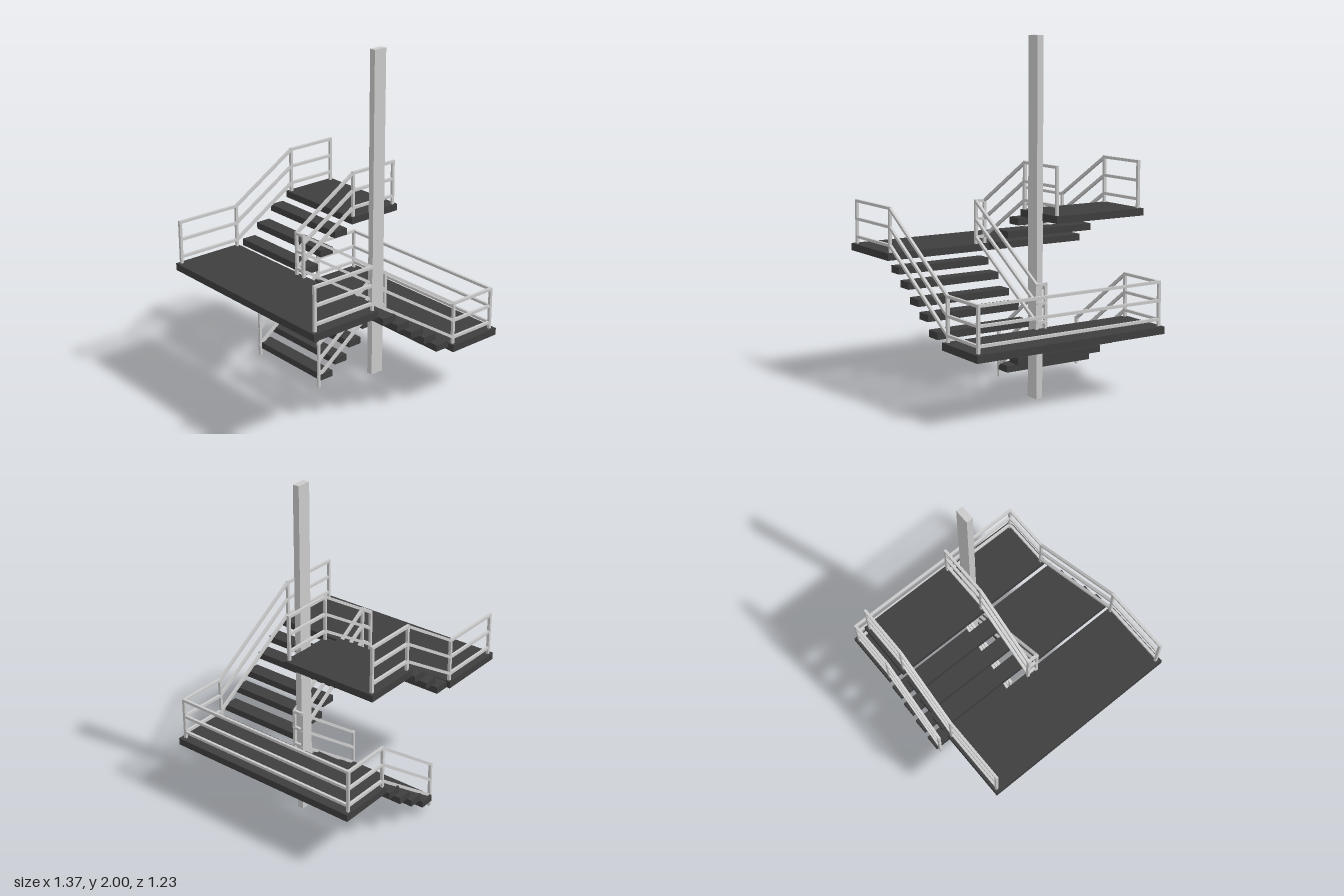
import * as THREE from 'three';

const steel = new THREE.MeshStandardMaterial({ color: 0xcacaca });
steel.name = 'light steel';
const tread = new THREE.MeshStandardMaterial({ color: 0x3e3e3e });
tread.name = 'dark tread';

const T = 0.016; // rail thickness
const DROPS = [0, 0.105, 0.21]; // top, middle and lower rail

// Box given by its limits on each axis
function block(name, mat, [x0, x1], [y0, y1], [z0, z1]) {
  const m = new THREE.Mesh(new THREE.BoxGeometry(x1 - x0, y1 - y0, z1 - z0), mat);
  m.position.set((x0 + x1) / 2, (y0 + y1) / 2, (z0 + z1) / 2);
  m.name = name;
  return m;
}

// Square bar between two points, slightly extended to fill the corners
function bar(a, b) {
  const m = new THREE.Mesh(new THREE.BoxGeometry(T, T, a.distanceTo(b) + T * 0.9), steel);
  m.position.copy(a).add(b).multiplyScalar(0.5);
  m.lookAt(b);
  m.name = 'railBar';
  return m;
}

// Three parallel rails following a path of [x, y, z] points
function railing(name, path) {
  const g = new THREE.Group();
  g.name = name;
  const pts = path.map((p) => new THREE.Vector3(...p));
  for (let i = 0; i < pts.length - 1; i++) {
    for (const d of DROPS) {
      const drop = new THREE.Vector3(0, -d, 0);
      g.add(bar(pts[i].clone().add(drop), pts[i + 1].clone().add(drop)));
    }
  }
  return g;
}

export function createModel() {
  const model = new THREE.Group();
  model.name = 'staircase';

  // Tall central column
  model.add(block('column', steel, [0.26, 0.345], [0, 2], [-0.025, 0.014]));

  // Landings
  const full = [-0.614, 0.614];
  const back = [-0.616, -0.03];
  const front = [0.028, 0.614];
  model.add(block('lowerLanding', tread, [0.335, 0.683], [0.355, 0.397], full));
  model.add(block('middleLanding', tread, [-0.686, -0.247], [0.748, 0.79], full));
  model.add(block('upperLanding', tread, [0.13, 0.48], [0.994, 1.035], [-0.617, -0.022]));

  // Flights: [left edge, centre height] of each tread
  const flights = [
    ['lowerFlight', back, [[-0.103, 0.087], [0.008, 0.155], [0.118, 0.231], [0.222, 0.32]]],
    ['middleFlight', front, [[0.2, 0.422], [0.1, 0.5], [0, 0.565], [-0.106, 0.642], [-0.208, 0.71]]],
    ['upperFlight', back, [[-0.207, 0.793], [-0.098, 0.87], [0.008, 0.958]]],
  ];
  for (const [name, z, steps] of flights) {
    const g = new THREE.Group();
    g.name = name;
    for (const [x, y] of steps) {
      g.add(block('step', tread, [x, x + 0.09], [y - 0.02, y + 0.02], z));
    }
    model.add(g);
  }

  // Railings
  const zB = -0.595, zF = 0.588, zIB = -0.038, zIF = 0.021;
  const low = 0.645, mid = 1.04, high = 1.297, foot = 0.305;
  const xFoot = -0.11, xL = -0.265, xR = 0.353, xEndL = -0.66, xEndR = 0.652;
  model.add(railing('outerLowerRailing', [
    [xFoot, foot, zB], [xR, low, zB], [xEndR, low, zB], [xEndR, low, zF],
    [xR, low, zF], [xL, mid, zF], [xEndL, mid, zF],
  ]));
  model.add(railing('outerUpperRailing', [
    [xEndL, mid, zB], [xL, mid, zB], [0.15, high, zB], [0.457, high, zB],
  ]));
  model.add(railing('innerRailing', [
    [xFoot, foot, zIB], [xR, low, zIB], [xR, low, zIF], [xL, mid, zIF],
    [xL, mid, zIB], [0.15, high, zIB], [0.457, high, zIB],
  ]));

  // Posts: x, bottom, top and the z rows they stand on
  const posts = [
    [xFoot, 0.025, foot, [zB, zIB]],
    [xR, 0.39, low, [zB, zIB, zIF, zF]],
    [xEndR, 0.39, low, [zB, zF]],
    [xL, 0.78, mid, [zB, zIB, zIF, zF]],
    [xEndL, 0.78, mid, [zB, zF]],
    [0.15, 1.03, high, [zB, zIB]],
    [0.457, 1.03, high, [zB, zIB]],
  ];
  const h = T / 2;
  for (const [x, y0, y1, rows] of posts) {
    for (const z of rows) {
      model.add(block('railPost', steel, [x - h, x + h], [y0, y1 + h], [z - h, z + h]));
    }
  }
  return model;
}
